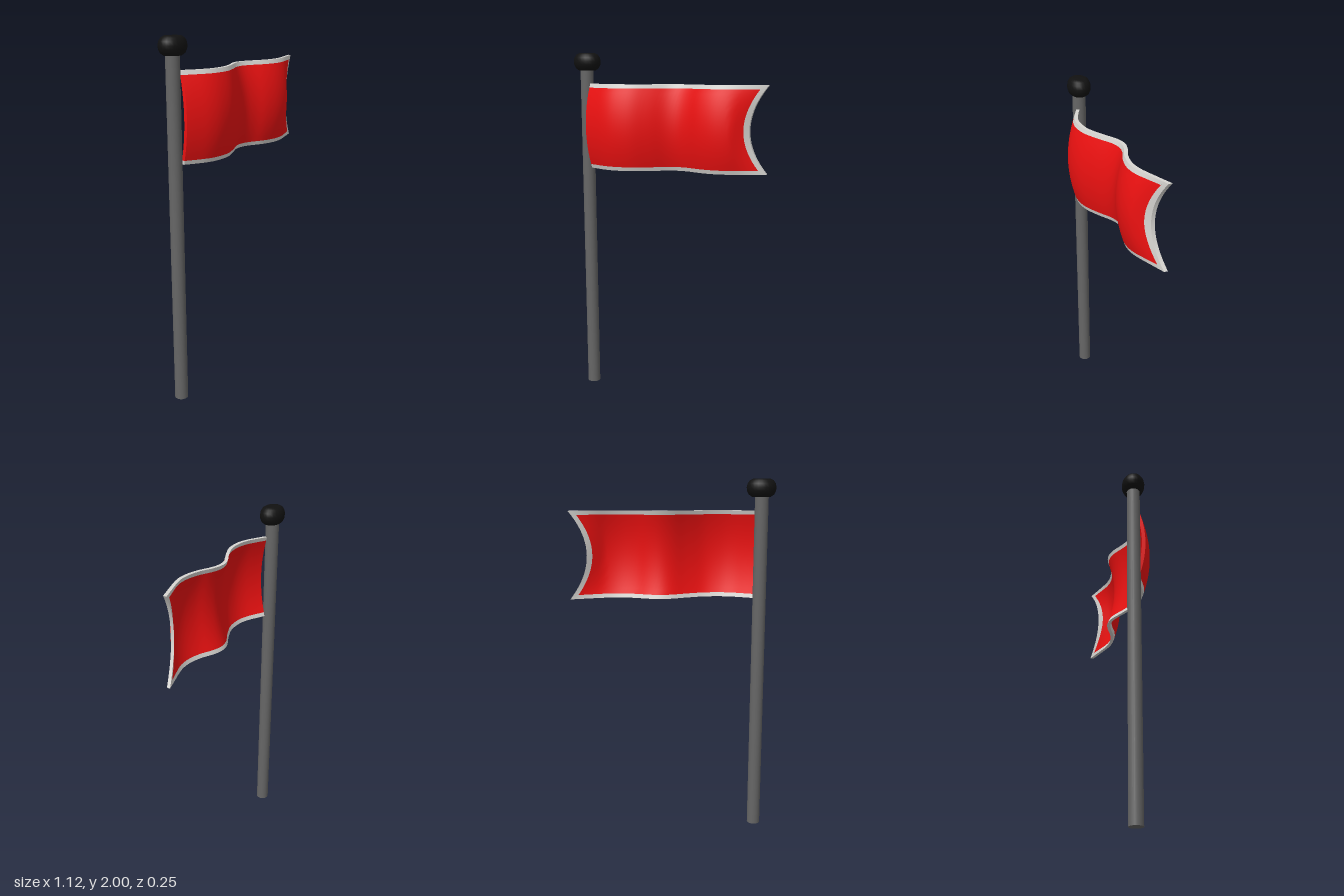
import * as THREE from 'three';

const POLE_X = -0.485, POLE_Z = 0.004;
const Y0 = 1.35, Y1 = 1.83, TRIM = 0.022;      // flag height range and border width
const LEFT = -0.45, TAIL = 0.385, RIGHT = 0.556; // flag start, start of the tail, tail tips
const THICK = 0.02;

const mat = (color) => new THREE.MeshStandardMaterial({ color });

// Wave of the cloth's back face along its top edge, as (x, z)
const wave = new THREE.SplineCurve([
  [-0.45, 0.012], [-0.40, 0.033], [-0.33, 0.058], [-0.26, 0.065], [-0.17, 0.048], [-0.08, 0.0],
  [0.0, -0.052], [0.065, -0.071], [0.13, -0.063], [0.2, -0.039], [0.27, -0.028], [0.33, -0.032],
  [0.385, -0.048], [0.47, -0.086], [0.556, -0.126],
].map(([x, z]) => new THREE.Vector2(x, z))).getPoints(140);

function waveZ(x) {
  let i = 1;
  while (i < wave.length - 1 && wave[i].x < x) i++;
  const a = wave[i - 1], b = wave[i];
  return THREE.MathUtils.mapLinear(x, a.x, b.x, a.y, b.y);
}

// Belly of the cloth: 1 at mid height, 0 at the top and bottom edges
const belly = (y) => 1 - ((y - 1.59) / 0.24) ** 2;
const endX = (y) => RIGHT - 0.09 * belly(y);

// Places a point of the flat cloth on the waving, swallow-tailed one
function place(x, y, side) {
  const b = belly(y);
  let flatX = x;
  if (x > TAIL) flatX = TAIL + (x - TAIL) * (RIGHT - TAIL) / (endX(y) - TAIL);
  const pull = 0.012 * b * Math.max(0, 1 - (x - LEFT) / 0.2);
  return [x - pull, y, waveZ(flatX) + 0.042 * b + side * THICK];
}

// A bent slab of cloth; from and to give its x limits at a height
function cloth(name, color, from, to, yLow, yHigh, nx, ny) {
  const g = new THREE.BoxGeometry(1, 1, 1, nx, ny, 1);
  const p = g.attributes.position;
  for (let i = 0; i < p.count; i++) {
    const y = THREE.MathUtils.lerp(yLow, yHigh, p.getY(i) + 0.5);
    const x = THREE.MathUtils.lerp(from(y), to(y), p.getX(i) + 0.5);
    p.setXYZ(i, ...place(x, y, p.getZ(i) + 0.5));
  }
  g.computeVertexNormals();
  const mesh = new THREE.Mesh(g, mat(color));
  mesh.name = name;
  return mesh;
}

export function createModel() {
  const model = new THREE.Group();
  model.name = 'flagOnPole';

  // Pole
  const pole = new THREE.Mesh(new THREE.CylinderGeometry(0.037, 0.037, 1.93, 20), mat(0x666666));
  pole.name = 'pole';
  pole.position.set(POLE_X, 0.965, POLE_Z);
  model.add(pole);

  // Rounded knob, wider than deep
  const profile = [[0, 0], [0.05, 0], [0.068, 0.012], [0.078, 0.032], [0.08, 0.05],
    [0.076, 0.07], [0.064, 0.087], [0.046, 0.096], [0, 0.097]].map(([r, y]) => new THREE.Vector2(r, y));
  const knob = new THREE.Mesh(new THREE.LatheGeometry(profile, 24), mat(0x111111));
  knob.name = 'knob';
  knob.scale.z = 0.8;
  knob.position.set(POLE_X + 0.003, 1.903, POLE_Z);
  model.add(knob);

  // Flag with a pale border on three sides
  const flag = new THREE.Group();
  flag.name = 'flag';
  const start = () => LEFT;
  const inner = (y) => endX(y) - 0.026;
  const red = 0xee1111, pale = 0xd8d6d2;
  flag.add(
    cloth('flagField', red, start, inner, Y0 + TRIM, Y1 - TRIM, 48, 16),
    cloth('topTrim', pale, start, inner, Y1 - TRIM, Y1, 48, 1),
    cloth('bottomTrim', pale, start, inner, Y0, Y0 + TRIM, 48, 1),
    cloth('tailTrim', pale, inner, endX, Y0, Y1, 1, 20),
  );
  model.add(flag);
  return model;
}
